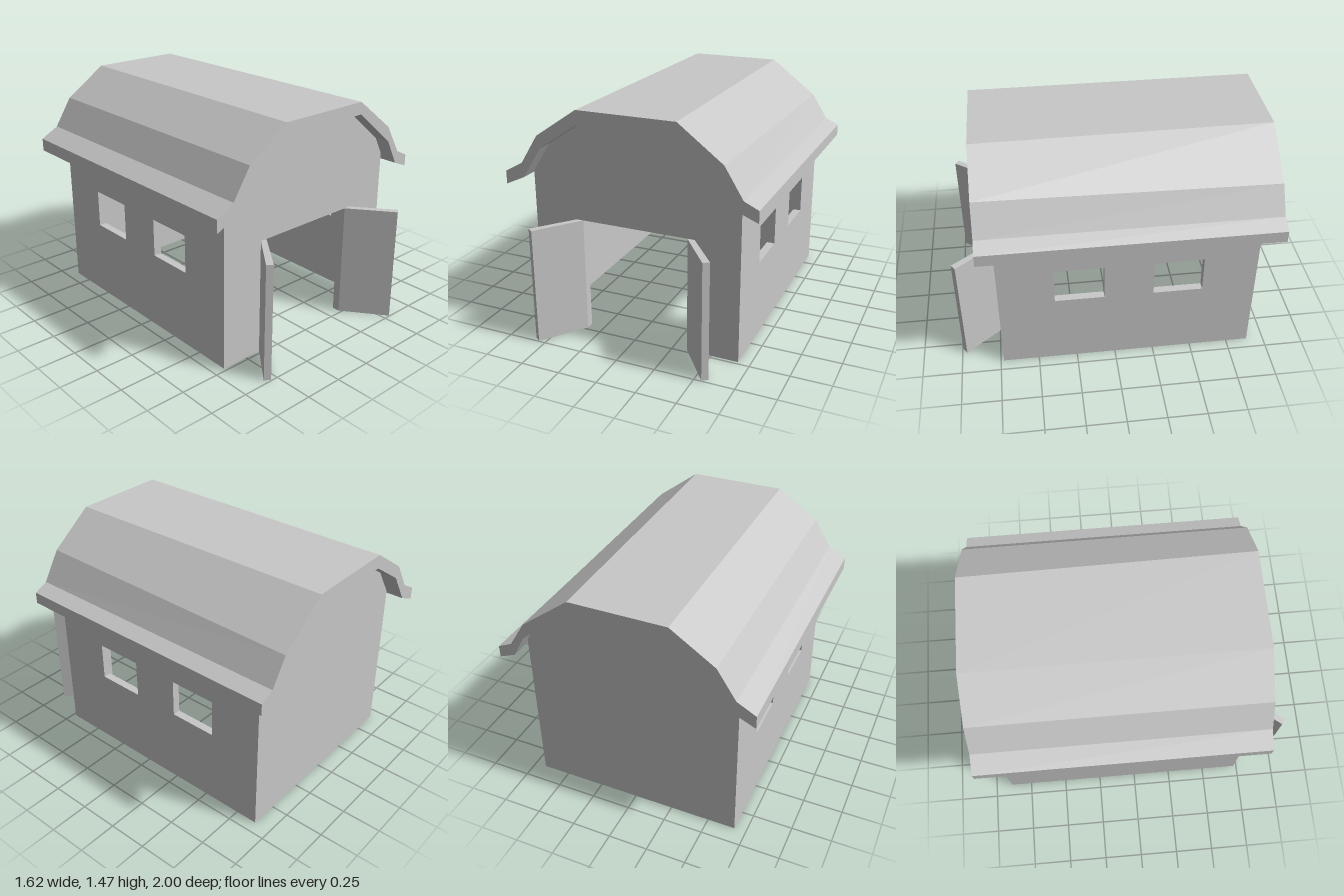
import * as THREE from 'three';

const WALL = 0.05, HALF = 0.675, FRONT = 0.73, BACK = -0.89;
const DOOR_X = 0.345, DOOR_H = 0.745;

const outline = pts => pts.map(([x, y]) => new THREE.Vector2(x, y));

function slab(pts, depth, holes = []) {
  const shape = new THREE.Shape(outline(pts));
  for (const h of holes) shape.holes.push(new THREE.Path(outline(h)));
  return new THREE.ExtrudeGeometry(shape, { depth, bevelEnabled: false });
}

const rect = (x0, x1, y0, y1) => [[x0, y0], [x1, y0], [x1, y1], [x0, y1]];

export function createModel() {
  const group = new THREE.Group();
  group.name = 'barn';
  const grey = new THREE.MeshStandardMaterial({ color: 0xc8c8c8, flatShading: true });
  grey.name = 'plain grey';

  const add = (name, geometry) => {
    const mesh = new THREE.Mesh(geometry, grey);
    mesh.name = name;
    group.add(mesh);
  };

  // Gambrel roof with flared eaves
  const top = [[-0.81, 1.035], [-0.693, 1.1], [-0.577, 1.283], [-0.305, 1.467],
    [0.322, 1.467], [0.6, 1.257], [0.715, 1.07], [0.805, 1.028]];
  const under = [[-0.81, 0.952], [-0.685, 1.01], [-0.555, 1.21], [-0.305, 1.378],
    [0.326, 1.39], [0.61, 1.16], [0.7, 0.995], [0.805, 0.952]];
  const roof = slab([...under, ...top.slice().reverse()], 1.83);
  roof.translate(0, 0, -1);
  // The left slope twists slightly toward the back
  const p = roof.attributes.position;
  for (let i = 0; i < p.count; i++) {
    if (p.getZ(i) > 0) continue;
    const x = p.getX(i);
    if (x > 0.3 && x < 0.35) p.setX(i, x - 0.02);
    if (x > 0.58 && x < 0.63) p.setXY(i, x + 0.01, p.getY(i) - 0.022);
  }
  roof.computeVertexNormals();
  add('roof', roof);

  // End walls follow the underside of the roof, bedded slightly into it
  const gable = [[HALF, 1.06], ...under.slice(2, 6).reverse().map(([x, y]) => [x, y + 0.02]),
    [-HALF, 1.04]];
  const back = slab([[-HALF, 0], [HALF, 0], ...gable], WALL);
  back.translate(0, 0, BACK);
  add('backWall', back);

  const front = slab([[-HALF, 0], [-DOOR_X, 0], [-DOOR_X, DOOR_H], [DOOR_X, DOOR_H],
    [DOOR_X, 0], [HALF, 0], ...gable], WALL);
  front.translate(0, 0, FRONT - WALL);
  add('frontWall', front);

  // Side walls with two window openings each, and the open doors
  const windows = [rect(0.07, 0.38, 0.5, 0.745), rect(-0.55, -0.24, 0.5, 0.745)];
  for (const [side, s] of [['left', 1], ['right', -1]]) {
    const wall = slab(rect(BACK + WALL, FRONT - WALL, 0, 1.03), WALL, windows);
    wall.rotateY(-Math.PI / 2);
    wall.translate(s > 0 ? HALF : -HALF + WALL, 0, 0);
    add(side + 'Wall', wall);

    // Door plan drawn in x and -z, raised to door height
    const door = slab([[s * 0.345, -FRONT], [s * 0.545, -0.995],
      [s * 0.58, -0.97], [s * 0.39, -FRONT]], DOOR_H);
    door.rotateX(-Math.PI / 2);
    add(side + 'Door', door);
  }

  return group;
}
